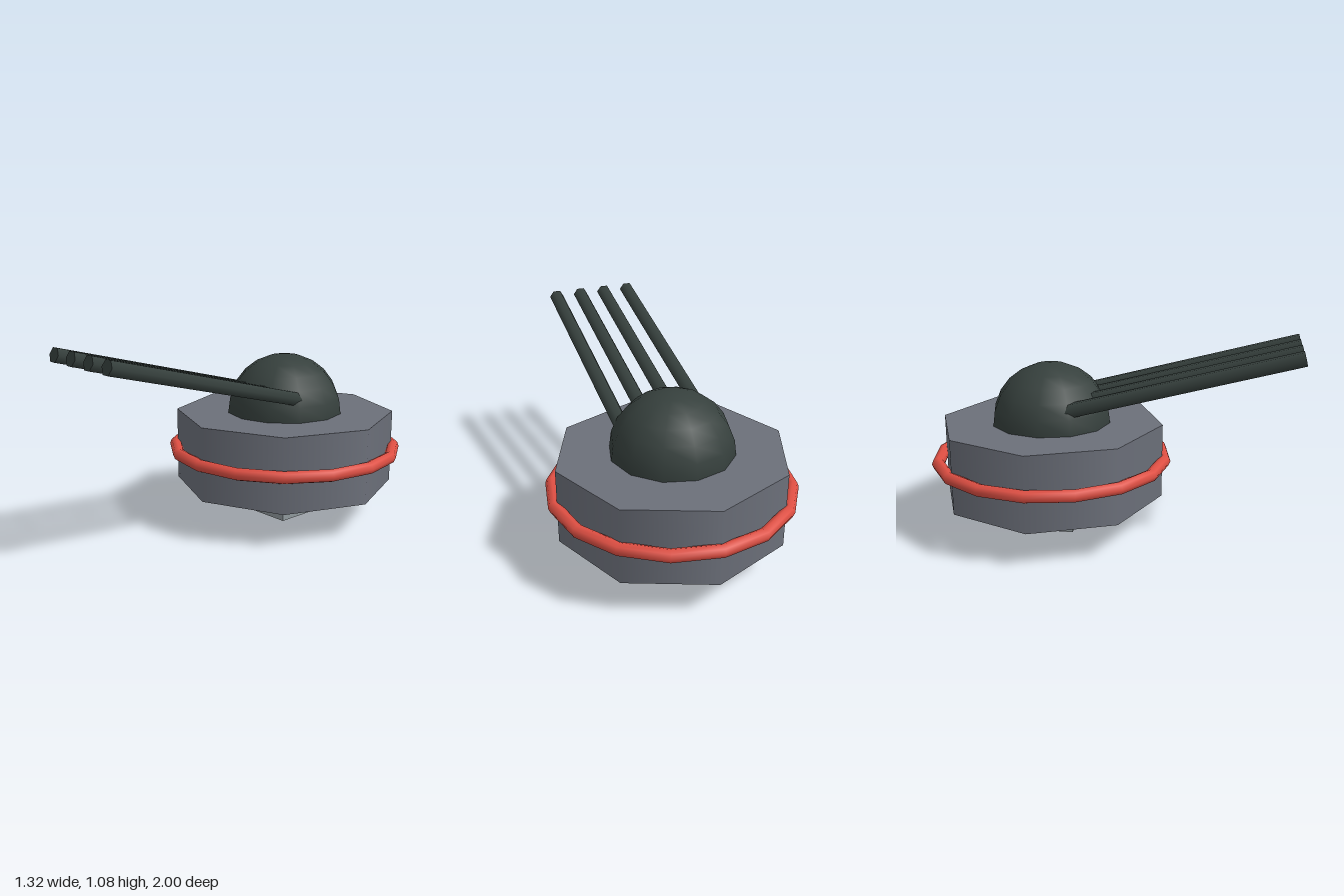
import * as THREE from 'three';

export function createModel() {
  const model = new THREE.Group();
  const material = (name, color) => {
    const m = new THREE.MeshStandardMaterial({ color });
    m.name = name;
    return m;
  };
  const darkMetal = material('dark metal', 0x36403d);
  const greyMetal = material('grey metal', 0x6c707a);
  const lightMetal = material('light metal', 0x90999d);
  const red = material('red', 0xdf4f43);

  const centreZ = -0.338; // the turret sits behind the middle, barrels reach forward
  const add = (name, geometry, mat, x, y, z) => {
    const mesh = new THREE.Mesh(geometry, mat);
    mesh.name = name;
    mesh.position.set(x, y, z);
    model.add(mesh);
    return mesh;
  };

  // Square mounting post under the drum
  add('mountingPost', new THREE.BoxGeometry(0.274, 0.274, 0.274), lightMetal, 0, 0.137, centreZ);

  // Eight-sided drum
  add('drum', new THREE.CylinderGeometry(0.615, 0.615, 0.41, 8), greyMetal, 0, 0.4, centreZ);

  // Red ring around the drum
  const ring = new THREE.TorusGeometry(0.627, 0.034, 8, 16).rotateX(Math.PI / 2);
  add('ring', ring, red, 0, 0.4, centreZ);

  // Dome on top; its lower half is hidden in the drum
  add('dome', new THREE.SphereGeometry(0.327, 12, 12), darkMetal, 0, 0.603, centreZ);

  // Four six-sided barrels tilted up by 15 degrees
  const tilt = Math.PI / 12;
  const length = 1.33;
  const barrel = new THREE.CylinderGeometry(0.041, 0.041, length, 6)
    .rotateY(Math.PI / 2)
    .translate(0, -length / 2, 0) // origin at the muzzle
    .rotateX(Math.PI / 2 - tilt);
  [-0.225, -0.075, 0.075, 0.225].forEach((x, i) => {
    add('barrel' + (i + 1), barrel, darkMetal, x, 1.044, 0.99);
  });

  return model;
}
